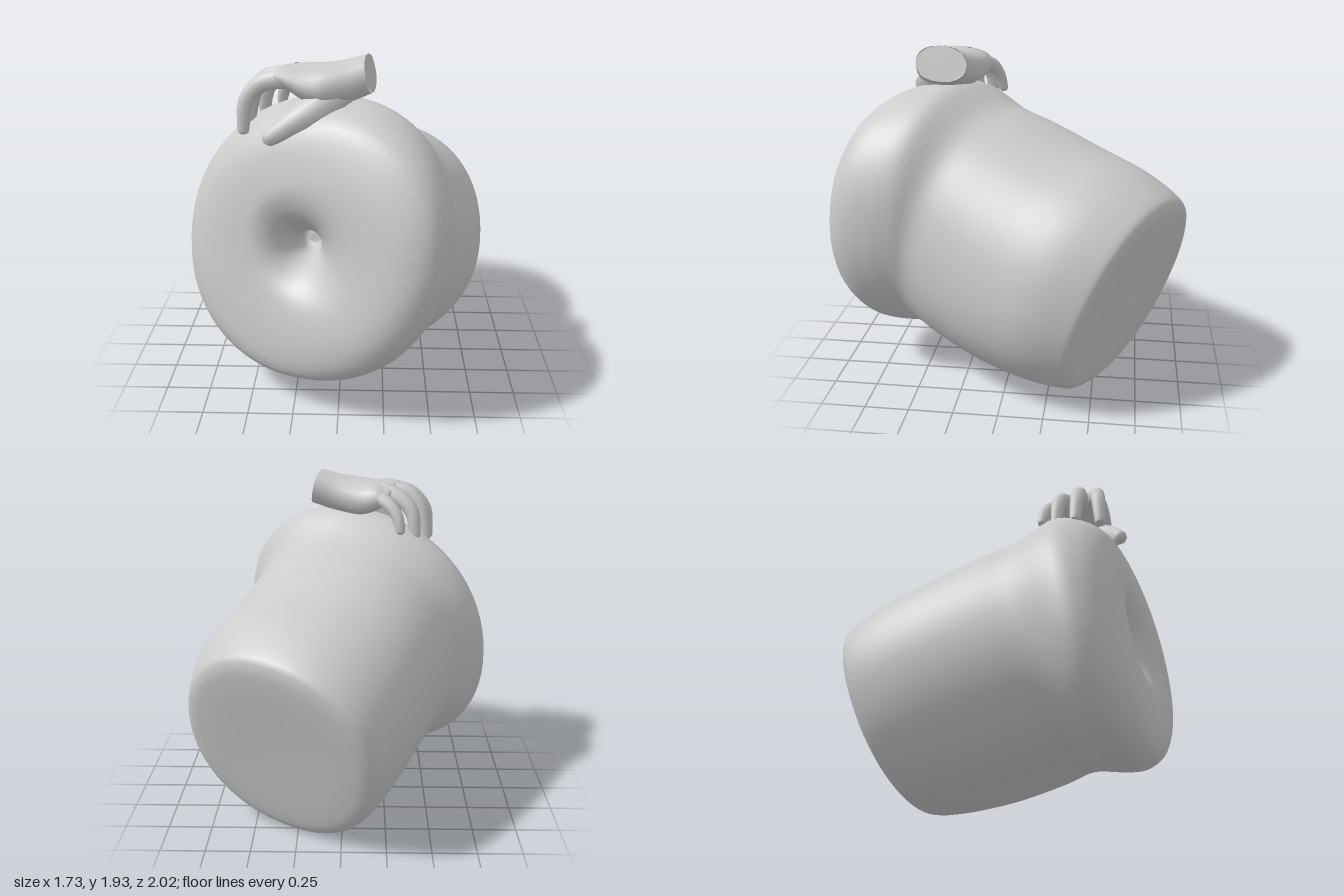
import * as THREE from 'three';

const V3 = (a) => new THREE.Vector3(...a);
const material = new THREE.MeshStandardMaterial({ color: 0xcccccc, side: THREE.DoubleSide });

// Smooth skin through sections [centre, half-axis U, half-axis V]; U x V points along the loft
function loft(name, sections, steps, sides, power = 2) {
  const [C, U, V] = [0, 1, 2].map((k) =>
    new THREE.CatmullRomCurve3(sections.map((s) => V3(s[k])), false, 'catmullrom', 0.5));
  const rows = (sections.length - 1) * steps;
  const pos = [], index = [];
  const bend = (v) => Math.sign(v) * Math.abs(v) ** (2 / power);
  for (let i = 0; i <= rows; i++) {
    const c = C.getPoint(i / rows), u = U.getPoint(i / rows), v = V.getPoint(i / rows);
    for (let j = 0; j < sides; j++) {
      const a = (j / sides) * Math.PI * 2;
      const p = c.clone().addScaledVector(u, bend(Math.cos(a))).addScaledVector(v, bend(Math.sin(a)));
      pos.push(p.x, p.y, p.z);
      if (i === rows) continue;
      const k = (j + 1) % sides, r = i * sides, n = r + sides;
      index.push(r + j, r + k, n + k, r + j, n + k, n + j);
    }
  }
  const g = new THREE.BufferGeometry();
  g.setAttribute('position', new THREE.Float32BufferAttribute(pos, 3));
  g.setIndex(index);
  g.computeVertexNormals();
  const mesh = new THREE.Mesh(g, material);
  mesh.name = name;
  return mesh;
}

// Tapered finger along a few joints
function finger(name, joints, radii) {
  const pts = joints.map(V3);
  const n = pts.length - 1;
  const frame = (p, t, r) => {
    const side = new THREE.Vector3(0, 0, 1).addScaledVector(t, -t.z).normalize();
    const up = t.clone().cross(side);
    return [p.toArray(), side.multiplyScalar(r).toArray(), up.multiplyScalar(r).toArray()];
  };
  const tangent = (i) => pts[Math.min(i + 1, n)].clone().sub(pts[Math.max(i - 1, 0)]).normalize();
  const sections = pts.map((p, i) => frame(p, tangent(i), radii[i]));
  const tip = tangent(n), r = radii[n];
  sections.push(frame(pts[n].clone().addScaledVector(tip, r * 0.7), tip, r * 0.7));
  sections.push(frame(pts[n].clone().addScaledVector(tip, r), tip, 0.002));
  return loft(name, sections, 3, 8);
}

export function createModel() {
  const model = new THREE.Group();

  // Flat back end, built as scaled copies of the rear rim pushed slightly outward
  const rim = [[0.34, 0.59, -0.66], [0.53, 0.1, 0.255], [-0.02, 0.58, -0.22]];
  const out = [0.45, -0.3, -0.84];
  const back = [[0.005, 0.045], [0.45, 0.05], [0.76, 0.05], [0.92, 0.035], [1, -0.02]].map(([s, d]) => [
    rim[0].map((c, i) => c + out[i] * d), rim[1].map((c) => c * s), rim[2].map((c) => c * s)]);

  // Barrel body, neck, flared front lip and the funnel running inward
  const body = loft('body', [
    ...back,
    [[0.27, 0.66, -0.46], [0.58, 0.08, 0.29], [-0.01, 0.63, -0.21]],
    [[0.16, 0.73, -0.21], [0.595, 0.05, 0.31], [0, 0.655, -0.19]],
    [[0.04, 0.82, 0.05], [0.6, 0.04, 0.31], [0.01, 0.68, -0.16]],
    [[-0.04, 0.88, 0.22], [0.62, 0.05, 0.29], [0.02, 0.69, -0.14]],
    [[-0.12, 0.93, 0.36], [0.715, 0.08, 0.25], [0.04, 0.76, -0.1]],
    [[-0.135, 0.93, 0.49], [0.725, 0.08, 0.25], [0.04, 0.765, -0.08]],
    [[-0.13, 0.92, 0.62], [0.68, 0.08, 0.27], [0.04, 0.735, -0.06]],
    [[-0.13, 0.92, 0.715], [0.58, 0.08, 0.27], [0.04, 0.65, -0.06]],
    [[-0.15, 0.92, 0.75], [0.43, 0.04, 0.235], [0.02, 0.47, -0.05]],
    [[-0.19, 0.95, 0.71], [0.26, 0, 0.15], [0, 0.29, -0.03]],
    [[-0.19, 0.94, 0.61], [0.14, 0, 0.08], [0, 0.16, 0]],
    [[-0.16, 0.91, 0.46], [0.065, 0, 0.035], [0, 0.075, 0]],
    [[-0.15, 0.9, 0.34], [0.05, 0, 0.025], [0, 0.055, 0]],
    [[-0.15, 0.9, 0.33], [0.003, 0, 0.001], [0, 0.003, 0]],
  ], 4, 72, 2.15);
  model.add(body);

  // Hand resting on top of the lip
  const hand = new THREE.Group();
  hand.name = 'hand';
  const wrist = [[0.16, 1.835, 0.39], [-0.025, 0, 0.148], [-0.02, 0.097, 0]];
  hand.add(loft('wristCap', [[wrist[0], [0, 0, 0.001], [0, 0.001, 0]], wrist], 1, 20));
  hand.add(loft('palm', [
    wrist,
    [[0.05, 1.8, 0.4], [-0.01, 0, 0.16], [-0.01, 0.105, 0]],
    [[-0.08, 1.775, 0.39], [0, 0, 0.195], [0, 0.11, 0.01]],
    [[-0.18, 1.785, 0.36], [0, -0.01, 0.2], [0, 0.09, 0.02]],
    [[-0.26, 1.805, 0.34], [-0.03, 0.01, 0.17], [0, 0.065, 0.02]],
    [[-0.31, 1.81, 0.33], [-0.04, 0.01, 0.13], [0, 0.045, 0]],
    [[-0.33, 1.81, 0.33], [0, 0, 0.003], [0, 0.002, 0]],
  ], 3, 20, 2.3));

  // Four curled fingers: knuckle, bend, tip
  const fingers = [
    ['indexFinger', [-0.24, 1.82, 0.45], [-0.4, 1.79, 0.43], [-0.49, 1.69, 0.42], [-0.51, 1.54, 0.42]],
    ['middleFinger', [-0.24, 1.82, 0.37], [-0.38, 1.8, 0.33], [-0.46, 1.71, 0.3], [-0.49, 1.56, 0.28]],
    ['ringFinger', [-0.22, 1.82, 0.3], [-0.32, 1.79, 0.24], [-0.4, 1.71, 0.2], [-0.42, 1.58, 0.18]],
    ['littleFinger', [-0.17, 1.8, 0.23], [-0.25, 1.77, 0.17], [-0.31, 1.7, 0.13], [-0.33, 1.62, 0.11]],
  ];
  fingers.forEach(([name, ...joints], i) =>
    hand.add(finger(name, joints, [0.055, 0.048, 0.042, 0.032].map((r) => r * (i === 3 ? 0.85 : 1)))));

  // Thumb lying over the front of the lip
  hand.add(finger('thumb',
    [[0.09, 1.79, 0.42], [-0.02, 1.73, 0.47], [-0.14, 1.66, 0.53], [-0.25, 1.6, 0.56], [-0.35, 1.535, 0.57]],
    [0.05, 0.085, 0.08, 0.06, 0.044]));
  model.add(hand);
  return model;
}
